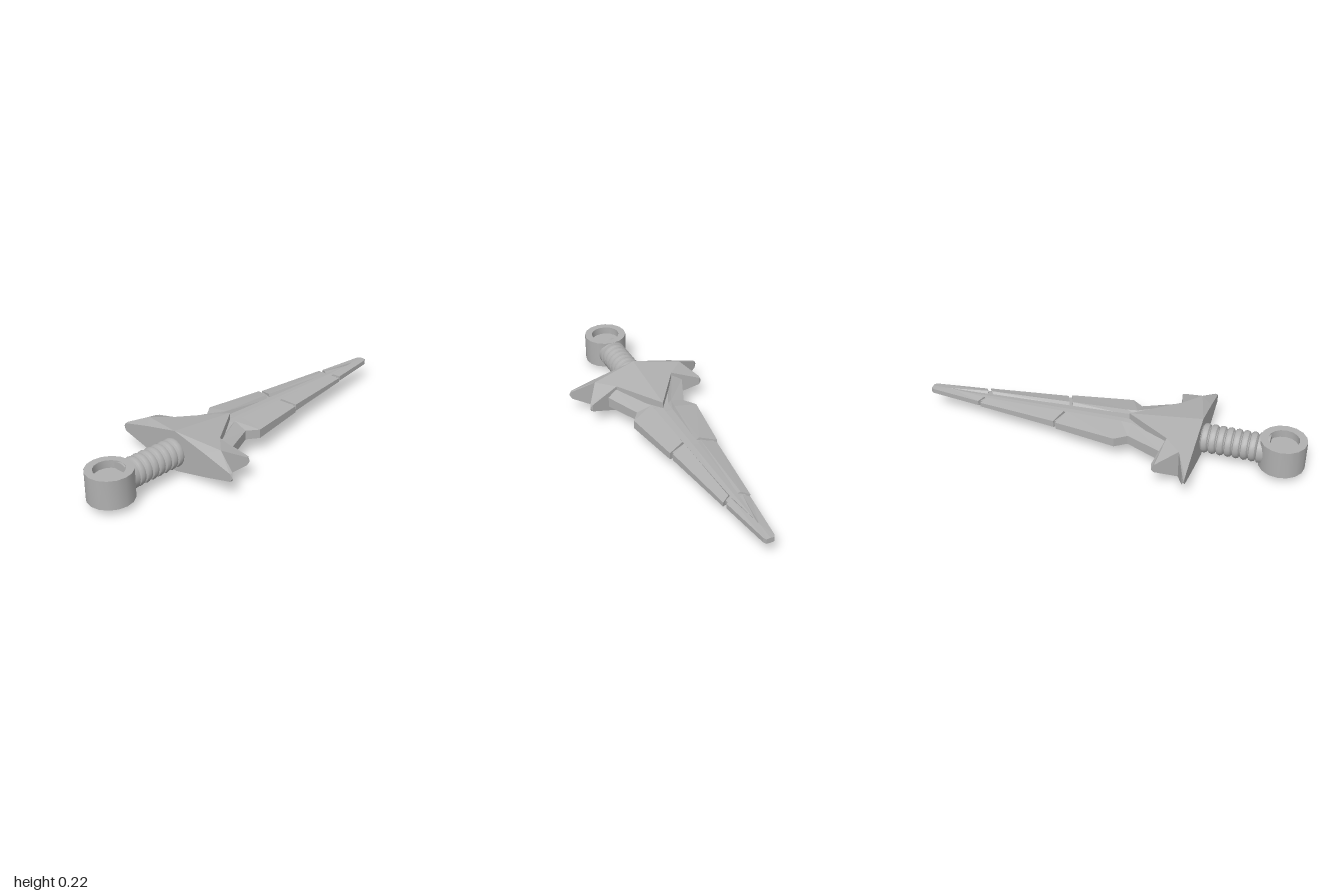
import * as THREE from 'three';
import { toCreasedNormals } from 'three/addons/utils/BufferGeometryUtils.js';

const MID = 0.112; // height of the sword's middle plane

// Solid from polygons of [x, z, halfHeight], mirrored in x and about the middle plane;
// side walls close every edge that no neighbour shares.
function slab(halfPolys) {
  const polys = [...halfPolys, ...halfPolys.map(p => p.map(([x, z, h]) => [-x, z, h]))].map(p => {
    const area = p.reduce((s, a, i) => {
      const b = p[(i + 1) % p.length];
      return s + a[0] * b[1] - b[0] * a[1];
    }, 0);
    return area > 0 ? [...p].reverse() : p;
  });
  const key = (a, b) => [a[0] + 0, a[1], b[0] + 0, b[1]].map(v => v.toFixed(4).replace('-0.0000', '0.0000')).join();
  const edges = new Set();
  polys.forEach(p => p.forEach((a, i) => edges.add(key(a, p[(i + 1) % p.length]))));
  const pos = [];
  const up = p => [p[0], MID + p[2], p[1]];
  const down = p => [p[0], MID - p[2], p[1]];
  const tri = (a, b, c) => pos.push(...a, ...b, ...c);
  for (const p of polys) {
    for (let i = 1; i < p.length - 1; i++) {
      tri(up(p[0]), up(p[i]), up(p[i + 1]));
      tri(down(p[0]), down(p[i + 1]), down(p[i]));
    }
    p.forEach((a, i) => {
      const b = p[(i + 1) % p.length];
      if (edges.has(key(b, a))) return;
      tri(up(b), up(a), down(a));
      tri(up(b), down(a), down(b));
    });
  }
  const g = new THREE.BufferGeometry();
  g.setAttribute('position', new THREE.Float32BufferAttribute(pos, 3));
  g.computeVertexNormals();
  return g;
}

// Quads between successive rows of points
function strip(rows) {
  const polys = [];
  for (let i = 0; i < rows.length - 1; i++)
    for (let j = 0; j < rows[i].length - 1; j++)
      polys.push([rows[i][j], rows[i][j + 1], rows[i + 1][j + 1], rows[i + 1][j]]);
  return polys;
}

// Blade half thickness along its length
const thick = z => Math.max(0.018, 0.048 + 0.032 * (z - 0.1));
const at = (x, z, f) => [x, z, thick(z) * f];

// Panel row: foot of the groove wall, top of the wall, cutting edge
const row = (lx, lz, tx, tz, ox, oz, edge = 0.5) => [at(lx, lz, 0.5), at(tx, tz, 1), at(ox, oz, edge)];

function lathe(points, segments) {
  const pts = points.map(([r, y]) => new THREE.Vector2(r, y));
  return toCreasedNormals(new THREE.LatheGeometry(pts, segments), 0.7);
}

export function createModel() {
  const group = new THREE.Group();
  const steel = new THREE.MeshStandardMaterial({ color: 0xb0b0b0 });
  steel.name = 'grey steel';
  const add = (name, geometry) => {
    const mesh = new THREE.Mesh(geometry, steel);
    mesh.name = name;
    group.add(mesh);
    return mesh;
  };

  // Sunken core, seen in the centre groove and in the gaps between panels
  const core = [[0.02, -0.9], [0.05, -0.7], [0.113, -0.25], [0.163, 0.07], [0.12, 0.13], [0.19, 0.32]];
  add('bladeCore', slab(strip(core.map(([x, z]) => [at(0, z, 0.65), at(x, z, 0.4)]))));

  // Blade panels
  add('lowerBladePanels', slab(strip([
    row(0.032, -0.215, 0.045, -0.222, 0.13, -0.256),
    row(0.042, 0.07, 0.052, 0.07, 0.178, 0.07),
    row(0.045, 0.14, 0.058, 0.125, 0.135, 0.13),
    row(0.15, 0.345, 0.165, 0.338, 0.215, 0.318),
  ])));
  add('middleBladePanels', slab(strip([
    row(0.02, -0.665, 0.032, -0.672, 0.071, -0.695),
    row(0.032, -0.235, 0.044, -0.24, 0.12, -0.27),
  ])));
  add('bladeTip', slab([
    [at(0, -1, 0.8), at(0.02, -1, 0.7), at(0.028, -0.985, 0.7), at(0, -0.9, 1)],
    ...strip([
      [at(0, -0.88, 0.5), at(0, -0.9, 1), at(0.028, -0.985, 0.7)],
      row(0.018, -0.69, 0.03, -0.692, 0.062, -0.712, 0.6),
    ]),
  ]));

  // Guard with a rear spike and a forward prong on each side
  const ridge = [0, 0.48, 0.11], rear = [0.2, 0.48, 0.064], notch = [0.25, 0.42, 0.075];
  const inner = [0.16, 0.335, 0.074], point = [0, 0.1, 0.065];
  add('guard', slab([
    [ridge, rear, notch],
    [ridge, notch, inner],
    [ridge, inner, point],
    [rear, [0.365, 0.48, 0.021], notch],
    [[0.365, 0.48, 0.021], [0.378, 0.476, 0.002], [0.368, 0.465, 0.021], notch],
    [notch, [0.318, 0.316, 0.022], inner],
    [[0.318, 0.316, 0.022], [0.325, 0.305, 0.004], [0.312, 0.3, 0.02], inner],
  ]));

  // Ribbed grip ending in a plain collar inside the pommel
  const profile = [[0, 0.46], [0.062, 0.46]];
  for (let i = 0; i < 7; i++)
    for (const [r, d] of [[0.061, -0.019], [0.071, -0.013], [0.075, 0], [0.071, 0.013], [0.061, 0.019]])
      profile.push([r, 0.5 + i * 0.04 + d]);
  profile.push([0.075, 0.765], [0.075, 0.82], [0, 0.82]);
  const grip = add('grip', lathe(profile, 20));
  grip.rotation.x = Math.PI / 2;
  grip.position.y = MID;

  // Round pommel, recessed above and below
  const pommel = add('pommel', lathe([
    [0, -0.035], [0.077, -0.035], [0.077, -0.075], [0.116, -0.075],
    [0.116, 0.075], [0.077, 0.075], [0.077, 0.035], [0, 0.035],
  ], 16));
  pommel.position.set(0, MID, 0.884);

  return group;
}
